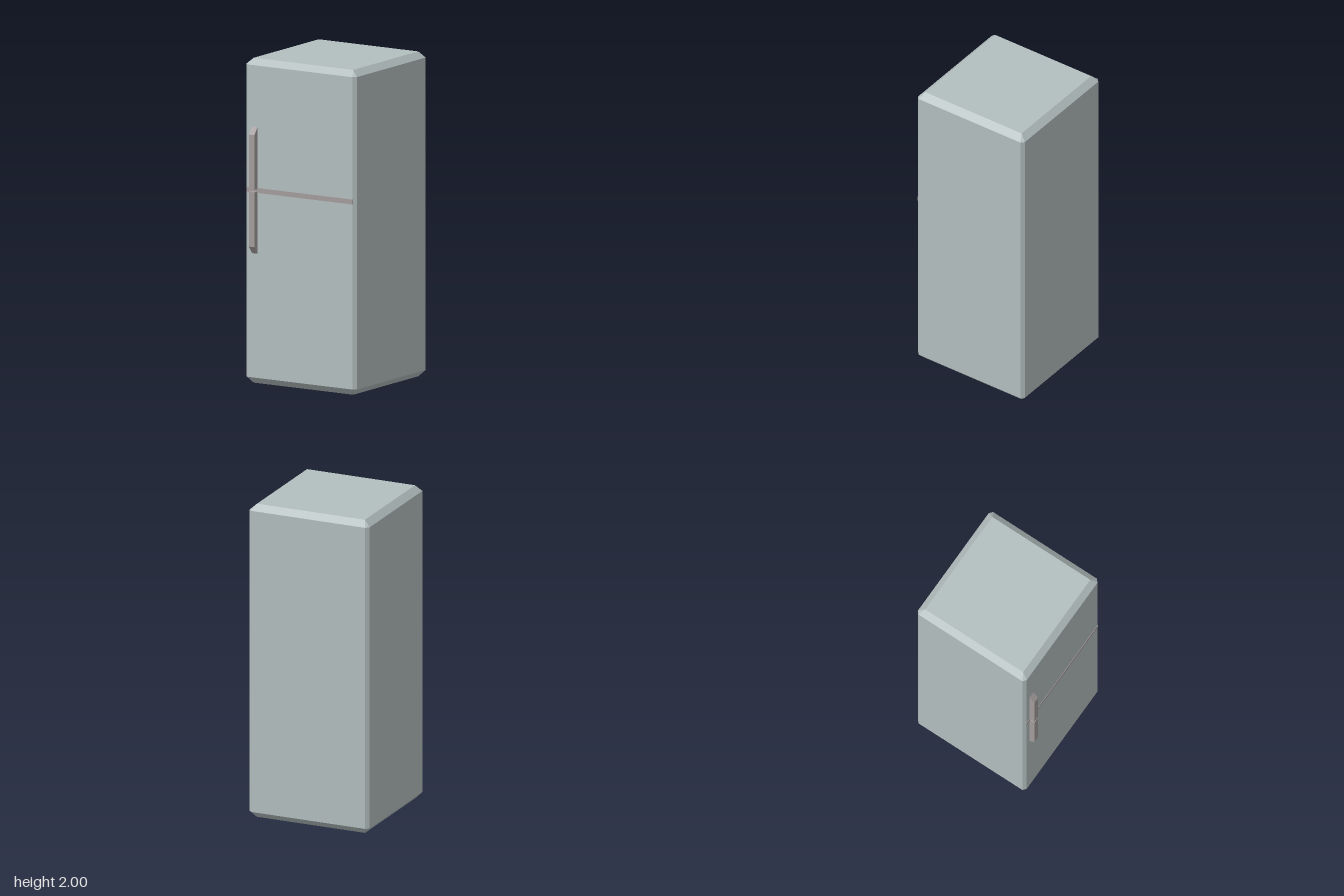
import * as THREE from 'three';
import { ConvexGeometry } from 'three/addons/geometries/ConvexGeometry.js';

export function createModel() {
  const group = new THREE.Group();
  group.name = 'refrigerator';
  const shell = new THREE.MeshStandardMaterial({ color: 0xb3bebe, flatShading: true });
  const trim = new THREE.MeshStandardMaterial({ color: 0xa39c9c, flatShading: true });

  const add = (name, geometry, material) => {
    const mesh = new THREE.Mesh(geometry, material);
    mesh.name = name;
    group.add(mesh);
    return mesh;
  };

  // Cabinet: chamfered upright edges, wider bevel around top and base
  const centreZ = -0.017, halfX = 0.4, halfZ = 0.398;
  const points = [];
  for (const sx of [-1, 1]) {
    for (const sz of [-1, 1]) {
      const corner = (insetX, insetZ, y) => points.push(
        new THREE.Vector3(sx * (halfX - insetX), y, centreZ + sz * (halfZ - insetZ)));
      for (const y of [0.04, 1.963]) {
        corner(0, 0.018, y);
        corner(0.02, 0, y);
      }
      corner(0.04, 0.039, 0);
      corner(0.04, 0.039, 2);
    }
  }
  add('cabinet', new ConvexGeometry(points), shell);

  // Strip between the upper and lower doors
  const strip = add('doorDivider', new THREE.BoxGeometry(0.765, 0.03, 0.02), trim);
  strip.position.set(-0.001, 1.195, 0.374);

  // Handles: side profile (z, y) with a sloping outer end, extruded across x
  const addHandle = (name, innerY, outerY) => {
    const slopeY = outerY - Math.sign(outerY - innerY) * 0.045;
    const profile = new THREE.Shape([
      new THREE.Vector2(0.375, innerY),
      new THREE.Vector2(0.415, innerY),
      new THREE.Vector2(0.415, slopeY),
      new THREE.Vector2(0.381, outerY),
      new THREE.Vector2(0.375, outerY),
    ]);
    const geometry = new THREE.ExtrudeGeometry(profile, { depth: 0.04, bevelEnabled: false });
    geometry.rotateY(-Math.PI / 2);
    const handle = add(name, geometry, trim);
    handle.position.x = -0.307;
  };
  addHandle('upperHandle', 1.203, 1.585);
  addHandle('lowerHandle', 1.188, 0.805);

  return group;
}
